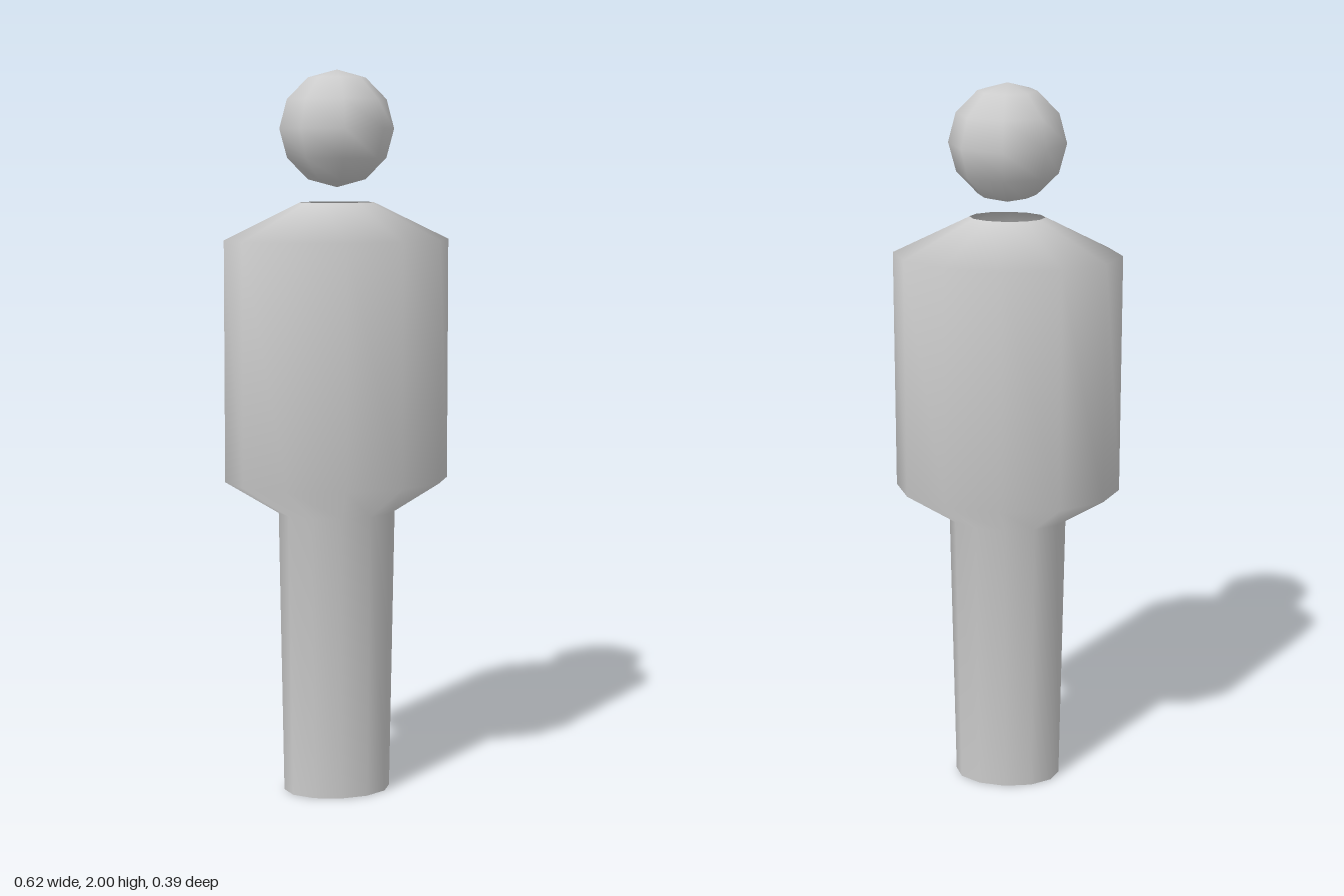
import * as THREE from 'three';

const material = new THREE.MeshStandardMaterial({ color: 0xcccccc, side: THREE.DoubleSide });

function addPart(group, name, geometry) {
  const mesh = new THREE.Mesh(geometry, material);
  mesh.name = name;
  group.add(mesh);
  return mesh;
}

export function createModel() {
  const group = new THREE.Group();
  group.name = 'figure';

  // Body: open oval shell, legs up to the neck opening (half width, height)
  const profile = [
    [0.15, 0],
    [0.162, 0.8],
    [0.309, 0.89],
    [0.306, 1.55],
    [0.1, 1.65],
  ].map(([r, y]) => new THREE.Vector2(r, y));
  const body = new THREE.LatheGeometry(profile, 12);
  body.scale(1, 1, 0.628);
  addPart(group, 'body', body);

  // Head: low-poly ball floating above the neck
  addPart(group, 'head', new THREE.SphereGeometry(0.155, 8, 6)).position.y = 1.845;

  return group;
}
